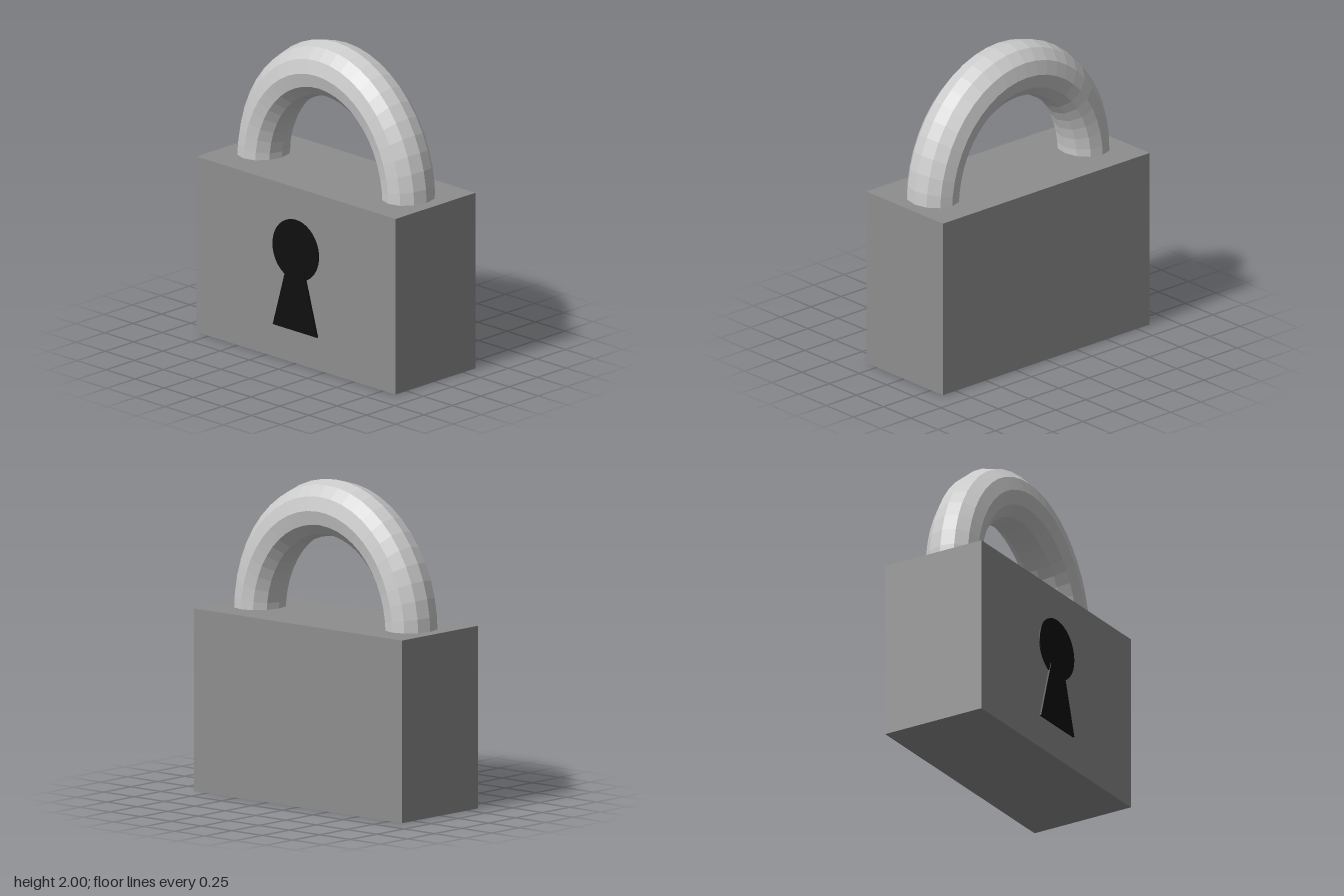
import * as THREE from 'three';

export function createModel() {
  const model = new THREE.Group();
  model.name = 'padlock';

  const bodyMat = new THREE.MeshStandardMaterial({ color: 0x8e8e8e });
  const steelMat = new THREE.MeshStandardMaterial({ color: 0xcccccc, flatShading: true });
  const holeMat = new THREE.MeshStandardMaterial({ color: 0x0f0f0f });

  const add = (name, geometry, material, x, y, z, parent = model) => {
    const mesh = new THREE.Mesh(geometry, material);
    mesh.name = name;
    mesh.position.set(x, y, z);
    parent.add(mesh);
    return mesh;
  };

  // Solid rectangular body
  const front = 0.345, back = -0.357, height = 1.14;
  add('body', new THREE.BoxGeometry(1.71, height, front - back), bodyMat,
    0, height / 2, (front + back) / 2);

  // Faceted half-ring shackle, slightly narrowed, its ends sunk into the body
  const shackle = new THREE.TorusGeometry(0.713, 0.177, 12, 24, Math.PI);
  shackle.scale(0.875, 1, 1);
  add('shackle', shackle, steelMat, 0, 1.11, -0.008);

  // Keyhole: a round plate above a flared slot, raised just off the front face
  const keyhole = new THREE.Group();
  keyhole.name = 'keyhole';
  model.add(keyhole);

  const disc = new THREE.CylinderGeometry(0.197, 0.197, 0.02, 48).rotateX(Math.PI / 2);
  add('keyholeRound', disc, holeMat, 0, 0.735, front - 0.003, keyhole);

  const slot = new THREE.Shape([
    [-0.19, 0.213], [0.19, 0.213], [0.075, 0.61], [-0.075, 0.61],
  ].map(([x, y]) => new THREE.Vector2(x, y)));
  add('keyholeSlot', new THREE.ExtrudeGeometry(slot, { depth: 0.022, bevelEnabled: false }),
    holeMat, 0, 0, front - 0.01, keyhole);

  return model;
}
